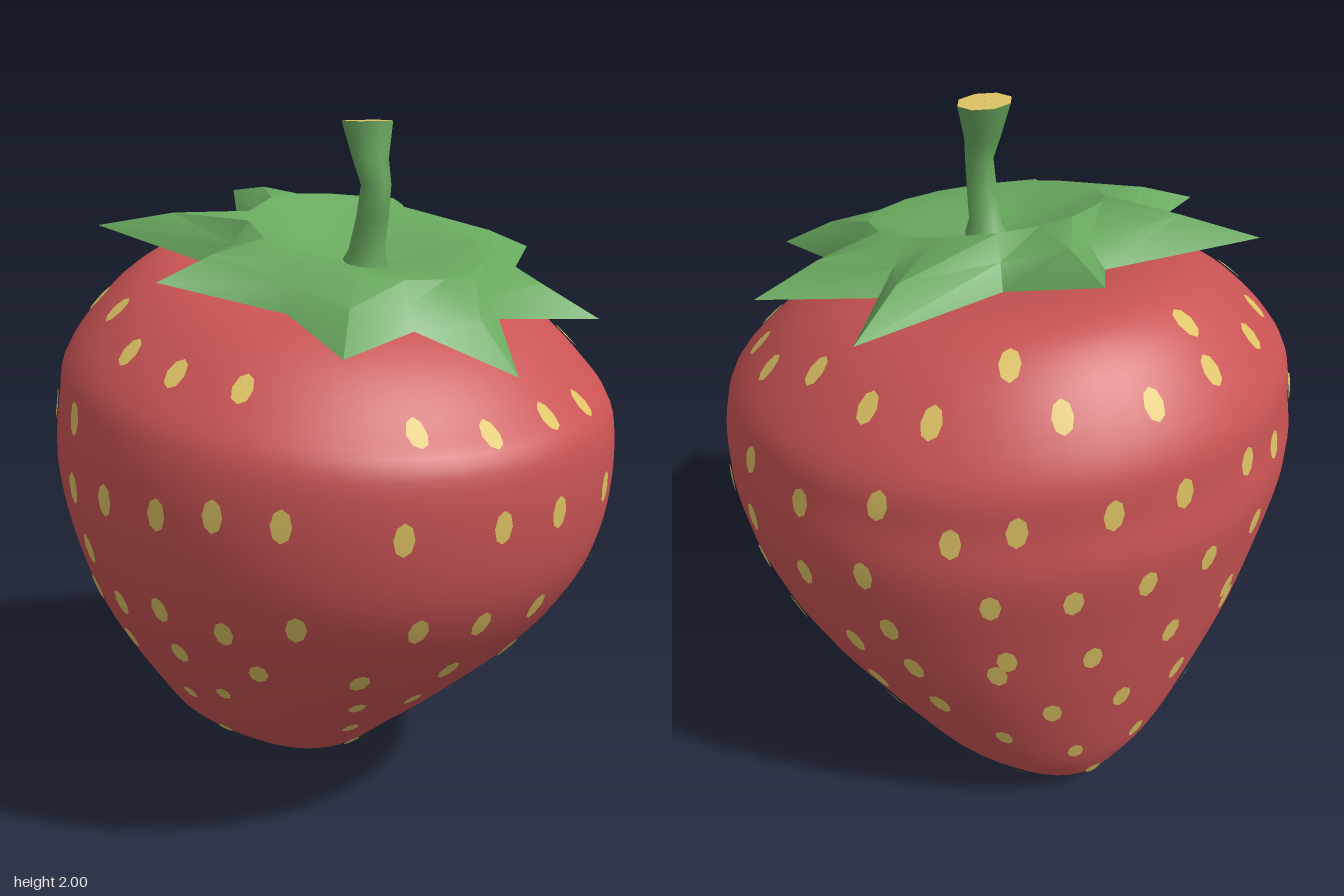
import * as THREE from 'three';
import { toCreasedNormals } from 'three/addons/utils/BufferGeometryUtils.js';

const V = (x, y, z) => new THREE.Vector3(x, y, z);
const TAU = Math.PI * 2;

function buildGeometry(points, index) {
  const g = new THREE.BufferGeometry().setFromPoints(points);
  g.setIndex(index);
  g.computeVertexNormals();
  return g;
}

// Skin closed rings of points, listed from bottom to top
function loft(rows) {
  const n = rows[0].length, index = [];
  for (let r = 0; r < rows.length - 1; r++) {
    for (let i = 0; i < n; i++) {
      const j = (i + 1) % n;
      const a = r * n + i, b = r * n + j, c = a + n, d = b + n;
      index.push(a, c, b, b, c, d);
    }
  }
  return buildGeometry(rows.flat(), index);
}

// Berry sections: left x, left y, right x, right y, half depth
const SECTIONS = [
  [-0.25, 0, -0.25, 0, 0.001],
  [-0.52, 0.05, 0, 0.05, 0.18],
  [-0.60, 0.15, 0.20, 0.20, 0.36],
  [-0.66, 0.30, 0.36, 0.33, 0.48],
  [-0.73, 0.60, 0.61, 0.56, 0.67],
  [-0.775, 0.85, 0.755, 0.76, 0.775],
  [-0.815, 1.10, 0.81, 0.95, 0.82],
  [-0.80, 1.25, 0.81, 1.17, 0.81],
  [-0.77, 1.42, 0.72, 1.28, 0.76],
  [-0.60, 1.62, 0.57, 1.42, 0.58],
  [-0.40, 1.67, 0.40, 1.50, 0.37],
  [0.0, 1.57, 0.0, 1.57, 0.001],
];
const spline = pts => new THREE.CatmullRomCurve3(pts, false, 'catmullrom', 0.5);
const leftCurve = spline(SECTIONS.map(s => V(s[0], s[1], s[4])));
const rightCurve = spline(SECTIONS.map(s => V(s[2], s[3], 0)));

// Point on the berry skin: t runs bottom to top, a runs from +x towards +z
function skin(t, a) {
  const l = leftCurve.getPoint(t), r = rightCurve.getPoint(t), c = Math.cos(a);
  return V((l.x + r.x) / 2 + (r.x - l.x) / 2 * c, (l.y + r.y) / 2 + (r.y - l.y) / 2 * c, l.z * Math.sin(a));
}

// Find the skin coordinates at height y, with an angle rule for each section
function locate(y, angleAt) {
  let best = null, error = Infinity;
  for (let t = 0.03; t < 0.91; t += 0.002) {
    const a = angleAt(leftCurve.getPoint(t), rightCurve.getPoint(t));
    if (Number.isNaN(a)) continue;
    const e = Math.abs(skin(t, a).y - y);
    if (e < error) { error = e; best = [t, a]; }
  }
  return best;
}

// Seeds on the front (x, y), repeated on the back
const FACE_SEEDS = [
  [-0.52, 1.51], [-0.38, 1.5], [-0.17, 1.5], [0.02, 1.42], [0.2, 1.39], [0.37, 1.37],
  [-0.65, 1.24], [-0.52, 1.31], [-0.32, 1.23], [-0.1, 1.24],
  [-0.71, 1.05], [-0.5, 1.09], [-0.32, 1.0], [-0.1, 1.05], [0.08, 1.06], [0.27, 1.06], [0.42, 1.08], [0.56, 1.07],
  [-0.07, 0.88], [-0.52, 0.9], [-0.67, 0.76], [-0.53, 0.74], [-0.4, 0.78], [-0.15, 0.73], [0.02, 0.74],
  [0.2, 0.77], [0.37, 0.74], [0.54, 0.78], [-0.53, 0.57], [-0.38, 0.59], [-0.08, 0.58], [0.17, 0.62],
  [0.37, 0.6], [-0.6, 0.42], [-0.33, 0.43], [0, 0.4], [0.17, 0.46], [-0.34, 0.2], [-0.08, 0.2], [-0.5, 0.12], [-0.22, 0.11],
];
// Seeds on the two flanks (z, y)
const LEFT_SEEDS = [
  [0.28, 1.27], [0.09, 1.25], [-0.13, 1.26], [-0.31, 1.26], [0.36, 1.03], [0.1, 1.03], [-0.1, 1.03], [-0.36, 1.03],
  [0.28, 0.76], [0.1, 0.75], [-0.1, 0.75], [-0.4, 0.77], [0.33, 0.57], [0.09, 0.57], [-0.14, 0.57], [-0.32, 0.57],
  [0.24, 0.42], [0.08, 0.42], [-0.12, 0.38], [-0.28, 0.37], [0.15, 0.27], [-0.13, 0.25], [0.02, 0.12],
];
const RIGHT_SEEDS = [
  [-0.18, 1.53], [0.05, 1.52], [0.25, 1.53], [-0.25, 1.62], [0.23, 1.62], [0.1, 1.3], [-0.1, 1.3], [0.33, 1.28], [-0.33, 1.28],
  [0.2, 1.05], [0, 1.06], [-0.2, 1.05], [0.12, 0.8], [-0.12, 0.8], [0.34, 0.82], [-0.34, 0.82],
  [0.2, 0.56], [0, 0.57], [-0.2, 0.56], [0.1, 0.32], [-0.1, 0.32], [0, 0.13],
];

function seedGeometry() {
  const spots = [];
  for (const [x, y] of FACE_SEEDS) {
    const s = locate(y, (l, r) => Math.acos((x - (l.x + r.x) / 2) / ((r.x - l.x) / 2)));
    spots.push(s, [s[0], -s[1]]);
  }
  for (const [z, y] of LEFT_SEEDS) spots.push(locate(y, l => Math.asin(z / l.z)));
  for (const [z, y] of RIGHT_SEEDS) spots.push(locate(y, l => Math.PI - Math.asin(z / l.z)));

  const points = [], index = [], sides = 8, e = 0.004;
  for (const [t, a] of spots) {
    const centre = skin(t, a);
    const up = skin(t + e, a).sub(skin(t - e, a)).divideScalar(2 * e);
    const side = skin(t, a - e).sub(skin(t, a + e)).divideScalar(2 * e);
    const lift = side.clone().cross(up).normalize().multiplyScalar(0.006);
    const size = centre.y < 0.5 ? 0.85 : 1;
    const dt = 0.046 * size / up.length(), da = 0.028 * size / side.length();
    const base = points.length;
    points.push(centre.add(lift));
    for (let i = 0; i < sides; i++) {
      const k = i / sides * TAU;
      points.push(skin(t + dt * Math.sin(k), a - da * Math.cos(k)).add(lift));
      index.push(base, base + 1 + i, base + 1 + (i + 1) % sides);
    }
  }
  return buildGeometry(points, index);
}

// Leafy cap: tips and notches alternate around the star
const STAR = [
  [0.75, 1.39, 0], [0.52, 1.49, 0.15], [0.61, 1.47, 0.45], [0.3, 1.53, 0.39],
  [0.09, 1.61, 0.65], [-0.06, 1.61, 0.37], [-0.38, 1.71, 0.56], [-0.29, 1.67, 0.14],
  [-0.53, 1.77, 0], [-0.28, 1.67, -0.15], [-0.41, 1.7, -0.6], [-0.07, 1.61, -0.41],
  [0.08, 1.6, -0.7], [0.3, 1.53, -0.39], [0.61, 1.47, -0.45], [0.52, 1.49, -0.15],
].map(p => V(...p));

function calyxGeometry() {
  const ring = (r, height) => STAR.map(p => {
    const a = Math.atan2(p.z, p.x - 0.14);
    const x = 0.14 + r * Math.cos(a);
    return V(x, height(x), r * Math.sin(a));
  });
  const rim = ring(0.33, x => 1.785 - 0.27 * (x + 0.2));
  const mid = rim.map((p, i) => p.clone().lerp(STAR[i], 0.5).add(V(0, i % 2 ? 0 : 0.015, 0)));
  const lower = (row, d) => row.map(p => p.clone().add(V(0, -d, 0)));
  const rows = [
    ring(0.002, () => 1.54), lower(rim, 0.08), lower(mid, 0.05), STAR,
    mid, rim, ring(0.19, x => 1.64 - 0.12 * (x - 0.14)), ring(0.002, () => 1.6),
  ];
  return toCreasedNormals(loft(rows), 0.9);
}

// Stem sections: x, y, half width, half depth
const STEM = [
  [0.12, 1.57, 0.09, 0.08], [0.14, 1.65, 0.052, 0.05], [0.165, 1.74, 0.046, 0.045],
  [0.18, 1.83, 0.042, 0.042], [0.155, 1.9, 0.045, 0.055], [0.14, 2.0, 0.06, 0.08],
];
const stemRing = ([x, y, w, d]) => Array.from({ length: 8 }, (_, i) =>
  V(x + w * Math.cos(i / 8 * TAU), y, d * Math.sin(i / 8 * TAU)));

export function createModel() {
  const model = new THREE.Group();
  model.name = 'strawberry';
  const material = (name, color) => {
    const m = new THREE.MeshStandardMaterial({ color });
    m.name = name;
    return m;
  };
  const red = material('berry red', 0xc95354);
  const green = material('leaf green', 0x67a75d);
  const yellow = material('seed yellow', 0xdcc263);
  const add = (name, geometry, mat) => {
    const mesh = new THREE.Mesh(geometry, mat);
    mesh.name = name;
    model.add(mesh);
  };

  const rows = [];
  for (let r = 0; r <= 55; r++) {
    rows.push(Array.from({ length: 48 }, (_, i) => skin(r / 55, i / 48 * TAU)));
  }
  add('berry', loft(rows), red);
  add('seeds', seedGeometry(), yellow);
  add('leafCap', calyxGeometry(), green);
  add('stem', loft(STEM.map(stemRing)), green);

  // Cut end of the stem
  const end = STEM[STEM.length - 1];
  add('stemEnd', loft([stemRing(end), stemRing([end[0], end[1], 0.001, 0.001])]), yellow);
  return model;
}
